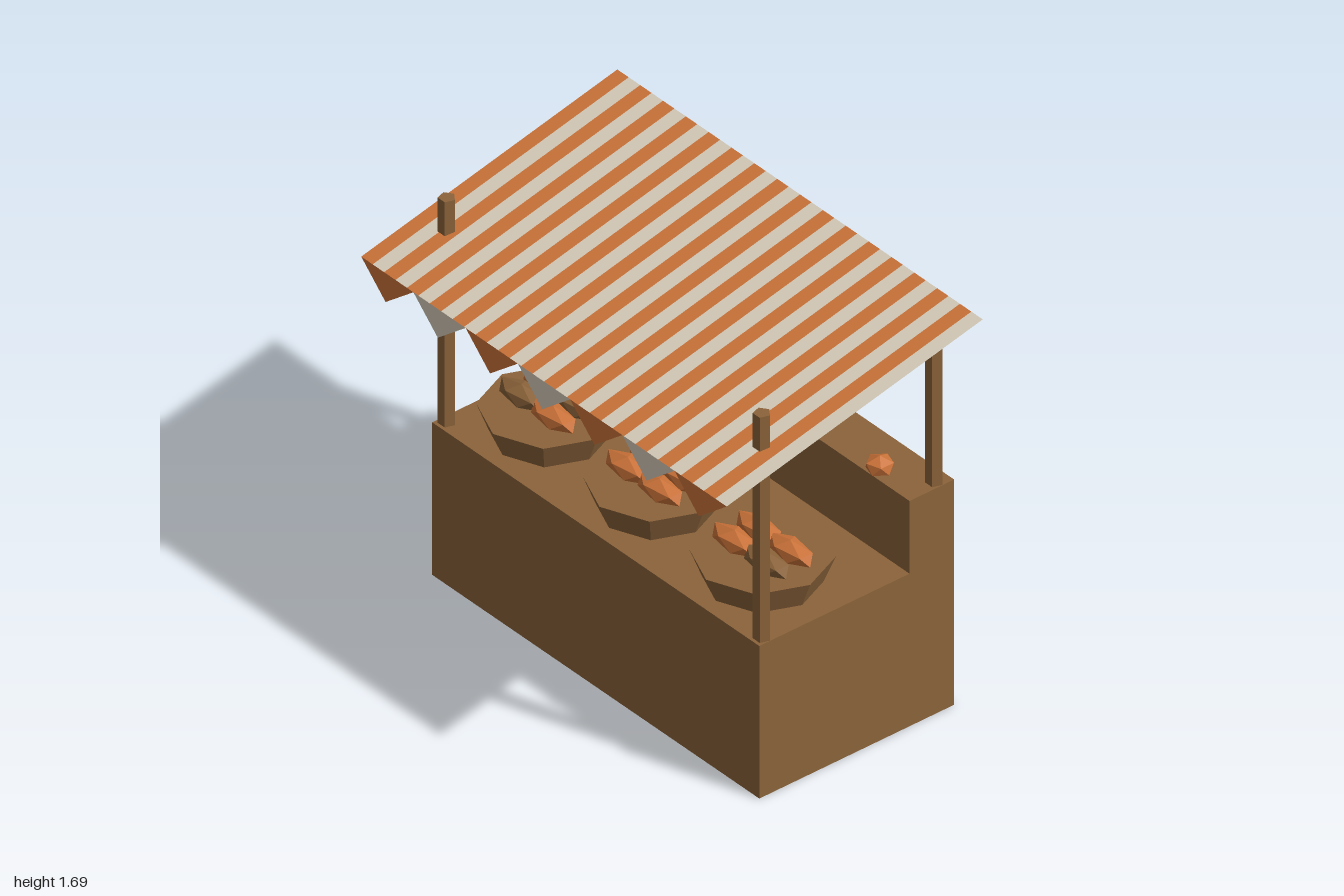
import * as THREE from 'three';

const mat = (name, color) => {
  const m = new THREE.MeshStandardMaterial({ color });
  m.name = name;
  m.flatShading = true;
  m.side = THREE.DoubleSide;
  return m;
};

export function createModel() {
  const wood = mat('wood', 0x8b633a);
  const orange = mat('orange', 0xcc7339);
  const cream = mat('cream', 0xd6ccba);
  const root = new THREE.Group();
  root.name = 'marketStall';

  const add = (parent, name, geo, material, x = 0, y = 0, z = 0) => {
    const mesh = new THREE.Mesh(geo, material);
    mesh.name = name;
    mesh.position.set(x, y, z);
    parent.add(mesh);
    return mesh;
  };
  const group = (name) => {
    const g = new THREE.Group();
    g.name = name;
    root.add(g);
    return g;
  };
  // Thin convex sheet from a few corners, fanned from the first
  const sheet = (corners) => {
    const points = [];
    for (let i = 1; i < corners.length - 1; i++) points.push(...corners[0], ...corners[i], ...corners[i + 1]);
    const geo = new THREE.BufferGeometry();
    geo.setAttribute('position', new THREE.Float32BufferAttribute(points, 3));
    geo.computeVertexNormals();
    return geo;
  };

  // Counter with a raised back shelf: side profile (z, y) drawn across x
  const profile = new THREE.Shape([
    [0.34, 0], [0.34, 0.655], [-0.35, 0.655], [-0.35, 0.967], [-0.555, 0.967], [-0.555, 0],
  ].map(([z, y]) => new THREE.Vector2(z, y)));
  const body = new THREE.ExtrudeGeometry(profile, { depth: 1.79, bevelEnabled: false });
  body.rotateY(-Math.PI / 2).translate(0.895, 0, 0);
  add(root, 'counter', body, wood);

  // Five-sided posts
  const posts = group('posts');
  const top = 1.622;
  for (const side of [-1, 1]) {
    for (const [name, z, base] of [['frontPost', 0.3, 0.65], ['backPost', -0.492, 0.96]]) {
      const post = new THREE.CylinderGeometry(0.033, 0.033, top - base, 5).rotateY(Math.PI);
      add(posts, name, post, wood, side * 0.862, (top + base) / 2, z);
    }
  }

  // Sloping striped awning
  const awning = group('awning');
  const stripes = 32, w = 2 / stripes;
  for (let i = 0; i < stripes; i++) {
    const x0 = -1 + i * w, x1 = x0 + w;
    add(awning, 'awningStripe', sheet([
      [x0, 1.418, 0.578], [x1, 1.418, 0.578], [x1, 1.692, -0.598], [x0, 1.692, -0.598],
    ]), i % 2 ? cream : orange);
  }

  // Hanging pennants along the front edge
  const flags = 7, fw = 2 / flags;
  for (let i = 0; i < flags; i++) {
    const x0 = -1 + i * fw;
    add(awning, 'pennant', sheet([
      [x0, 1.418, 0.578], [x0 + fw / 2, 1.303, 0.586], [x0 + fw, 1.418, 0.578],
    ]), i % 2 ? cream : orange);
  }

  // Faceted produce with a point at the top
  const produce = (rx, ry, rz) => new THREE.IcosahedronGeometry(1, 0)
    .rotateZ(Math.atan(2 / (1 + Math.sqrt(5)))).scale(rx, ry, rz);
  const loaf = produce(0.12, 0.043, 0.056);
  const fruit = produce(0.058, 0.04, 0.057);

  // Eight-sided baskets, each holding four pieces (front left, front right, back left, back right)
  const basketGeo = new THREE.CylinderGeometry(0.26, 0.216, 0.11, 8);
  const fills = [
    [wood, orange, orange, wood],
    [orange, orange, orange, orange],
    [orange, wood, orange, orange],
  ];
  fills.forEach((fill, i) => {
    const basket = group('basket');
    basket.position.set((i - 1) * 0.583, 0, 0.063);
    add(basket, 'basketBody', basketGeo, wood, 0, 0.71, 0);
    fill.forEach((m, k) => {
      add(basket, 'produce', loaf, m, k % 2 ? 0.087 : -0.087, 0.798, k < 2 ? 0.056 : -0.055);
    });
  });

  // Row of fruit on the back shelf
  const row = group('shelfFruit');
  for (let i = -2; i <= 2; i++) add(row, 'fruit', fruit, orange, i * 0.345, 0.997, -0.385);

  return root;
}
